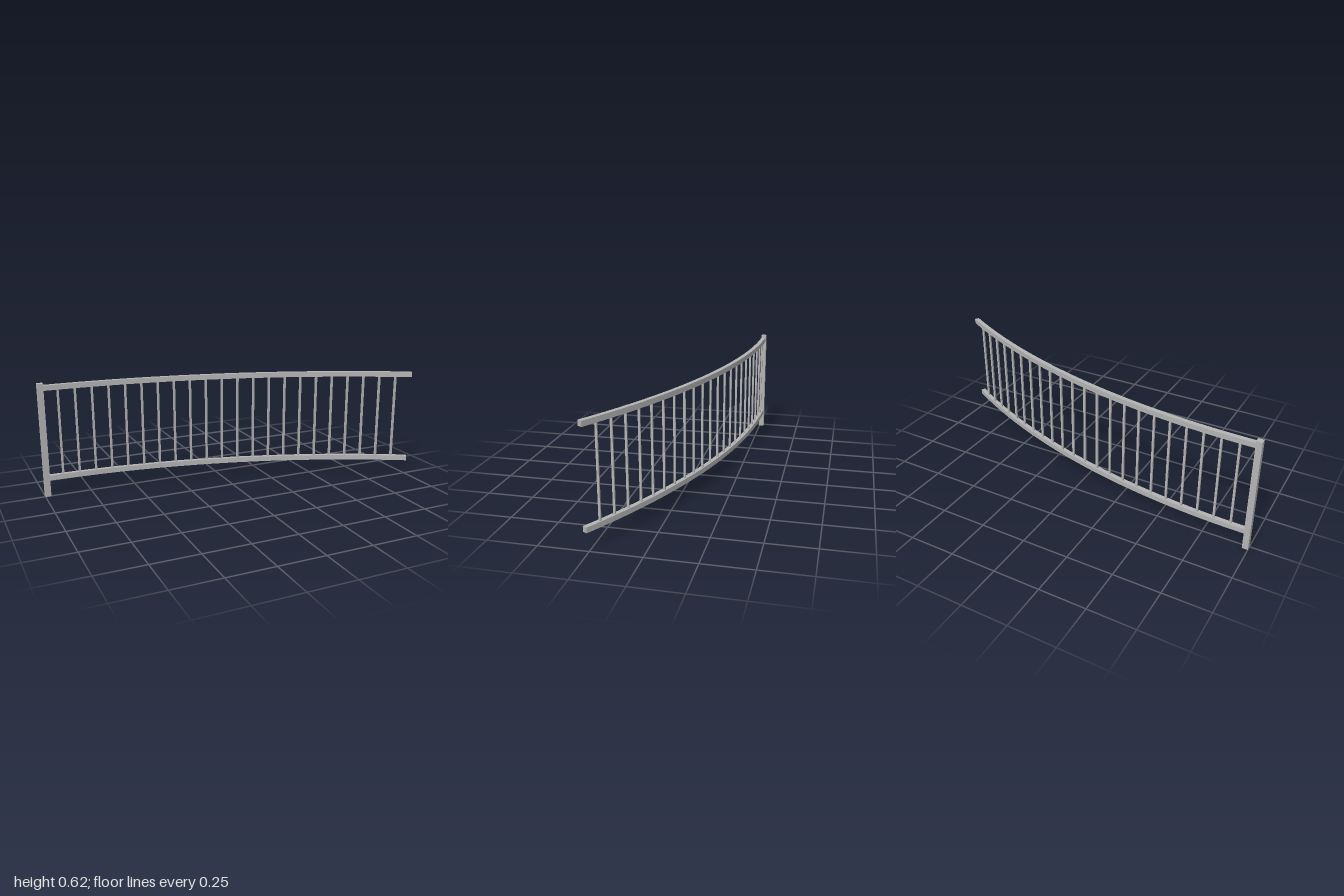
import * as THREE from 'three';
import { toCreasedNormals } from 'three/addons/utils/BufferGeometryUtils.js';

// The railing follows a 30 degree arc that starts at the post
const START_X = -0.985, START_Z = -0.261, RADIUS = 3.957, SWEEP = Math.PI / 6;
const RAIL_THICK = 0.025, RAIL_HEIGHT = 0.0275;
const LOW_RAIL = 0.0885, HIGH_RAIL = 0.584;
const BALUSTERS = 22, BALUSTER_WIDTH = 0.0108;

// Curved bar of rectangular section, its underside at y = 0
function railGeometry() {
  const shape = new THREE.Shape();
  const cy = -(START_Z + RADIUS);
  const a0 = Math.PI / 2, a1 = a0 - SWEEP;
  shape.absarc(START_X, cy, RADIUS + RAIL_THICK / 2, a0, a1, true);
  shape.absarc(START_X, cy, RADIUS - RAIL_THICK / 2, a1, a0, false);
  shape.closePath();
  const geometry = new THREE.ExtrudeGeometry(shape, {
    depth: RAIL_HEIGHT, bevelEnabled: false, curveSegments: 32,
  });
  geometry.rotateX(-Math.PI / 2);
  return toCreasedNormals(geometry, 0.5);
}

export function createModel() {
  const group = new THREE.Group();
  group.name = 'curvedRailing';
  const metal = new THREE.MeshStandardMaterial({ color: 0xb4b4b4 });
  metal.name = 'grey metal';

  const add = (name, geometry, x, y, z) => {
    const mesh = new THREE.Mesh(geometry, metal);
    mesh.name = name;
    mesh.position.set(x, y, z);
    group.add(mesh);
  };

  // End post
  add('post', new THREE.BoxGeometry(0.031, 0.623, 0.031), START_X, 0.3115, START_Z);

  // Bottom and top rails
  const rail = railGeometry();
  add('bottomRail', rail, 0, LOW_RAIL, 0);
  add('topRail', rail, 0, HIGH_RAIL, 0);

  // Square balusters, evenly spaced along the arc and all facing the same way
  const bottom = LOW_RAIL + RAIL_HEIGHT;
  const bar = new THREE.BoxGeometry(BALUSTER_WIDTH, HIGH_RAIL - bottom, BALUSTER_WIDTH);
  for (let i = 1; i <= BALUSTERS; i++) {
    const t = (SWEEP * i) / (BALUSTERS + 1);
    add('baluster' + i, bar,
      START_X + RADIUS * Math.sin(t),
      (bottom + HIGH_RAIL) / 2,
      START_Z + RADIUS * (1 - Math.cos(t)));
  }
  return group;
}
